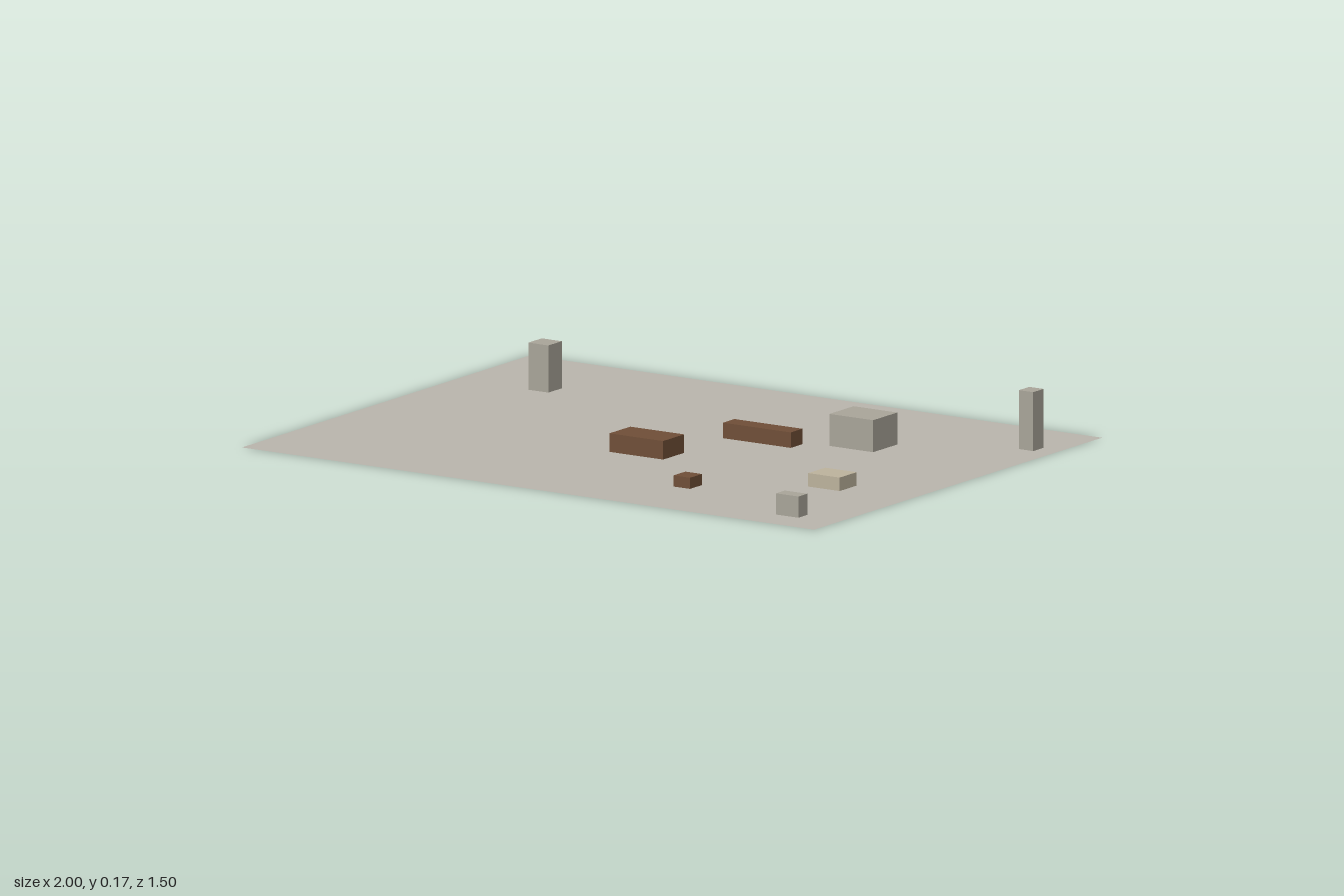
import * as THREE from 'three';

const GREY = 0xa8a498, BROWN = 0x6f4e37, TAN = 0xbcb29c;

// name, colour, x centre, z centre, width, height, depth
const BLOCKS = [
  ['leftPillar', GREY, -0.71, -0.397, 0.07, 0.14, 0.07],
  ['rightPillar', GREY, 0.91, -0.515, 0.05, 0.175, 0.054],
  ['largeBlock', GREY, 0.481, -0.28, 0.153, 0.095, 0.126],
  ['longBrownBlock', BROWN, 0.208, -0.162, 0.237, 0.046, 0.06],
  ['wideBrownBlock', BROWN, 0.013, 0.151, 0.188, 0.055, 0.109],
  ['smallBrownBlock', BROWN, 0.364, 0.461, 0.058, 0.033, 0.062],
  ['flatTanBlock', TAN, 0.715, 0.23, 0.11, 0.04, 0.089],
  ['smallGreyBlock', GREY, 0.833, 0.618, 0.078, 0.063, 0.046],
];

export function createModel() {
  const model = new THREE.Group();

  // Thin ground sheet, seen from both sides
  const ground = new THREE.Mesh(
    new THREE.PlaneGeometry(2, 1.5).rotateX(-Math.PI / 2),
    new THREE.MeshStandardMaterial({ color: 0xb8b4ac, side: THREE.DoubleSide })
  );
  ground.name = 'ground';
  model.add(ground);

  // Blocks standing on the ground
  for (const [name, color, x, z, w, h, d] of BLOCKS) {
    const block = new THREE.Mesh(
      new THREE.BoxGeometry(w, h, d),
      new THREE.MeshStandardMaterial({ color })
    );
    block.name = name;
    block.position.set(x, h / 2, z);
    model.add(block);
  }
  return model;
}
